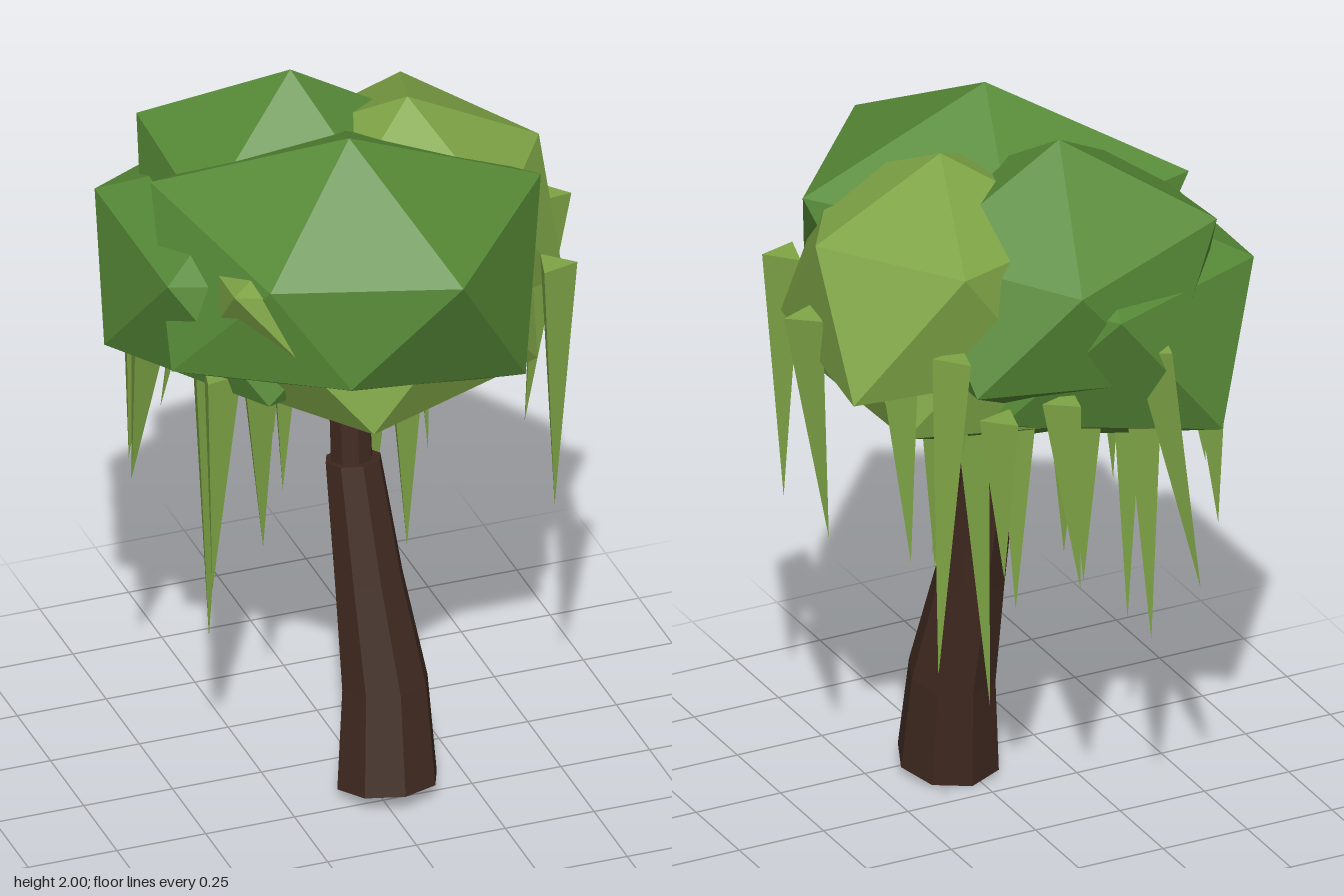
import * as THREE from 'three';
import { ConvexGeometry } from 'three/addons/geometries/ConvexGeometry.js';

const paint = (name, color) => {
  const m = new THREE.MeshStandardMaterial({ color, flatShading: true });
  m.name = name;
  return m;
};

export function createModel() {
  const bark = paint('bark brown', 0x3f2920);
  const green = paint('leaf green', 0x568936);
  const light = paint('light leaf green', 0x7fa546);
  const tree = new THREE.Group();
  tree.name = 'willowTree';

  const add = (name, geometry, material, parent = tree) => {
    const mesh = new THREE.Mesh(geometry, material);
    mesh.name = name;
    parent.add(mesh);
    return mesh;
  };

  // Leaning trunk: eight-sided rings [x, y, z, radius], each tilted with the lean
  const trunk = (name, rings) => {
    const n = rings.length - 1;
    const g = new THREE.CylinderGeometry(1, 1, n, 8, n);
    const p = g.attributes.position;
    for (let i = 0; i < p.count; i++) {
      const [x, y, z, r] = rings[Math.round(p.getY(i) + n / 2)];
      const dz = p.getZ(i) * r;
      p.setXYZ(i, x + p.getX(i) * r, y + dz * 0.18, z + dz);
    }
    g.computeVertexNormals();
    add(name, g, bark);
  };
  trunk('lowerTrunk', [[0.031, 0.025, 0.195, 0.14], [0.04, 0.3, 0.155, 0.12], [0.015, 0.6, 0.1, 0.095], [-0.005, 0.93, 0.035, 0.077]]);
  trunk('upperTrunk', [[-0.008, 0.9, 0.035, 0.058], [-0.01, 1.3, 0, 0.055]]);

  // Faceted leaf clump: a squashed twenty-sided ball given as top, upper five,
  // lower five and bottom corners; faces looking down take the second material
  const clump = (name, top, under, points) => {
    const g = new ConvexGeometry(points.map((p) => new THREE.Vector3(...p)));
    const normals = g.attributes.normal;
    for (let i = 0; i < normals.count; i += 3) g.addGroup(i, 3, normals.getY(i) < -0.45 ? 1 : 0);
    add(name, g, [top, under]);
  };

  clump('frontClump', green, green, [
    [-0.07, 2, 0.18],
    [0.47, 1.78, 0.18], [0.08, 1.76, 0.64], [-0.37, 1.7, 0.39], [-0.51, 1.78, -0.14], [0.08, 1.76, -0.28],
    [0.33, 1.34, 0.44], [-0.19, 1.44, 0.52], [-0.57, 1.39, 0.18], [-0.22, 1.38, -0.25], [0.35, 1.4, -0.08],
    [-0.05, 1.2, 0.15],
  ]);
  clump('backClump', green, green, [
    [-0.09, 2, -0.21],
    [0.33, 1.75, -0.21], [0.04, 1.75, 0.18], [-0.43, 1.76, 0.04], [-0.43, 1.8, -0.46], [0.04, 1.73, -0.6],
    [0.24, 1.4, 0.03], [-0.22, 1.4, 0.18], [-0.5, 1.42, -0.21], [-0.22, 1.42, -0.58], [0.29, 1.44, -0.48],
    [-0.09, 1.2, -0.21],
  ]);
  clump('sideClump', green, green, [
    [-0.19, 1.82, -0.13],
    [0.25, 1.62, -0.13], [-0.04, 1.62, 0.33], [-0.57, 1.63, 0.15], [-0.57, 1.63, -0.4], [-0.06, 1.65, -0.63],
    [0.18, 1.3, 0.15], [-0.34, 1.3, 0.3], [-0.64, 1.31, -0.14], [-0.37, 1.26, -0.61], [0.18, 1.3, -0.4],
    [-0.2, 1.07, -0.13],
  ]);
  clump('lightClump', light, green, [
    [0.18, 1.95, -0.05],
    [0.55, 1.76, -0.05], [0.31, 1.76, 0.32], [-0.13, 1.76, 0.2], [-0.14, 1.76, -0.28], [0.31, 1.78, -0.45],
    [0.53, 1.46, 0.19], [0.06, 1.46, 0.32], [-0.2, 1.45, -0.05], [0.06, 1.44, -0.43], [0.59, 1.43, -0.35],
    [0.18, 1.28, -0.05],
  ]);
  clump('lowerClump', light, green, [
    [0, 1.78, 0],
    [0.5, 1.58, 0], [0.18, 1.6, 0.47], [-0.46, 1.69, 0.36], [-0.4, 1.6, -0.29], [0.18, 1.6, -0.45],
    [0.43, 1.27, 0.26], [-0.12, 1.28, 0.5], [-0.47, 1.27, 0], [-0.12, 1.27, -0.46], [0.41, 1.27, -0.3],
    [-0.01, 1.04, 0],
  ]);

  // Hanging fronds: three-sided spikes [top x, y, z, tip x, y, z], all turned the same way
  const fronds = new THREE.Group();
  fronds.name = 'hangingFronds';
  tree.add(fronds);
  const down = new THREE.Vector3(0, -1, 0);
  [
    [0.58, 1.57, -0.06, 0.51, 0.89, -0.05], [0.465, 1.57, 0.292, 0.46, 0.84, 0.31], [0.42, 1.5, -0.3, 0.41, 0.92, -0.33],
    [0.33, 1.55, -0.43, 0.38, 0.62, -0.43], [0.25, 1.35, -0.3, 0.29, 0.87, -0.22], [0.18, 1.4, -0.24, 0.14, 0.4, -0.26],
    [0.2, 1.35, -0.45, 0.2, 0.88, -0.46], [0.08, 1.3, -0.32, 0.1, 0.71, -0.33], [0.05, 1.4, -0.52, 0.02, 0.85, -0.55],
    [-0.08, 1.35, -0.4, -0.07, 0.78, -0.39], [-0.2, 1.4, -0.5, -0.21, 0.63, -0.51], [-0.19, 1.53, -0.58, -0.31, 0.8, -0.6],
    [-0.25, 1.2, -0.05, -0.23, 0.66, -0.04], [-0.4, 1.3, -0.02, -0.39, 0.43, -0.02], [-0.44, 1.35, 0.18, -0.47, 0.72, 0.22],
    [-0.54, 1.35, -0.1, -0.57, 0.9, -0.12], [-0.48, 1.35, -0.33, -0.5, 0.83, -0.33], [-0.12, 1.3, -0.2, -0.13, 0.75, -0.16],
    [0.13, 1.2, 0.04, 0.13, 0.66, 0.08],
  ].forEach(([x, y, z, tx, ty, tz]) => {
    const top = new THREE.Vector3(x, y, z);
    const axis = new THREE.Vector3(tx, ty, tz).sub(top);
    const length = axis.length();
    const g = new THREE.ConeGeometry(0.062, length, 3);
    g.rotateX(Math.PI);
    g.translate(0, -length / 2, 0);
    g.rotateY(Math.PI * 0.75);
    const frond = add('frond', g, light, fronds);
    frond.position.copy(top);
    frond.quaternion.setFromUnitVectors(down, axis.normalize());
  });

  return tree;
}
